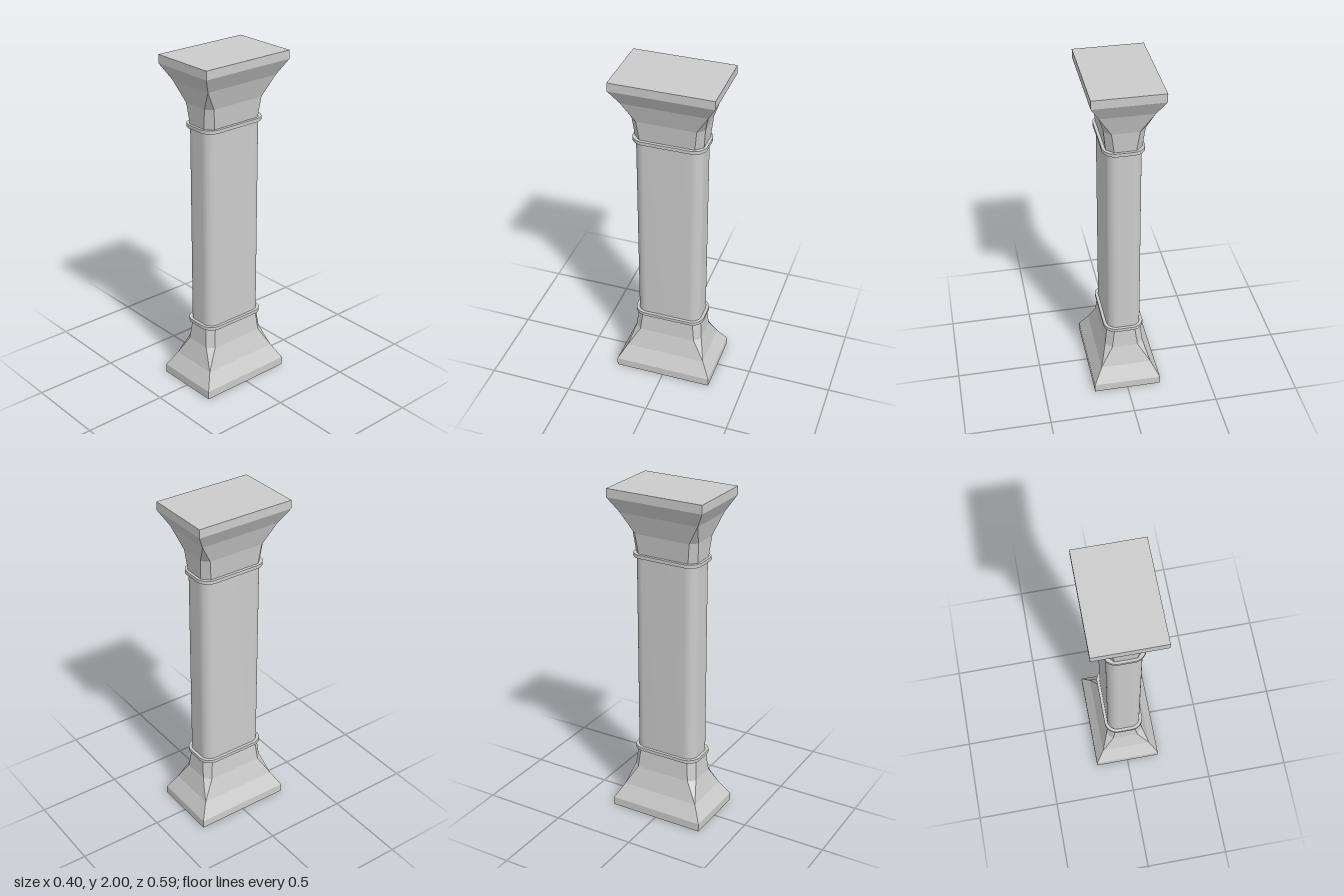
import * as THREE from 'three';
import { toCreasedNormals } from 'three/addons/utils/BufferGeometryUtils.js';

const material = new THREE.MeshStandardMaterial({ color: 0xcccccc, side: THREE.DoubleSide });

function addMesh(parent, name, geometry) {
  const mesh = new THREE.Mesh(geometry, material);
  mesh.name = name;
  parent.add(mesh);
  return mesh;
}

// Rounded rectangle extruded upwards from y = 0
function roundedPrism(hx, hz, r, height) {
  const s = new THREE.Shape();
  s.absarc(hx - r, hz - r, r, 0, Math.PI / 2);
  s.absarc(r - hx, hz - r, r, Math.PI / 2, Math.PI);
  s.absarc(r - hx, r - hz, r, Math.PI, Math.PI * 1.5);
  s.absarc(hx - r, r - hz, r, Math.PI * 1.5, Math.PI * 2);
  s.closePath();
  const g = new THREE.ExtrudeGeometry(s, { depth: height, bevelEnabled: false, curveSegments: 10 });
  g.rotateX(-Math.PI / 2);
  return toCreasedNormals(g, 0.6);
}

// Flared foot, open below: rows of [y, half width, half depth, corner cut]
function flareGeometry() {
  const rows = [
    [0, 0.2, 0.295, 0],
    [0.05, 0.2, 0.295, 0],
    [0.14, 0.15, 0.243, 0],
    [0.26, 0.114, 0.208, 0.037],
    [0.385, 0.1, 0.197, 0.04],
  ];
  const loops = rows.map(([y, x, z, c]) => [
    [x, z - c], [x, c - z], [x - c, -z], [c - x, -z],
    [-x, c - z], [-x, z - c], [c - x, z], [x - c, z],
  ].map(([px, pz]) => new THREE.Vector3(px, y, pz)));
  const points = [];
  const triangle = (a, b, c) => {
    if (new THREE.Triangle(a, b, c).getArea() > 1e-7) points.push(a, b, c);
  };
  for (let i = 0; i < loops.length - 1; i++) {
    for (let j = 0; j < 8; j++) {
      const k = (j + 1) % 8;
      triangle(loops[i][j], loops[i][k], loops[i + 1][k]);
      triangle(loops[i][j], loops[i + 1][k], loops[i + 1][j]);
    }
  }
  const g = new THREE.BufferGeometry().setFromPoints(points);
  g.computeVertexNormals();
  return g;
}

export function createModel() {
  const column = new THREE.Group();
  column.name = 'column';

  // Shaft with softly rounded corners
  addMesh(column, 'shaft', roundedPrism(0.1, 0.195, 0.06, 1.22)).position.y = 0.39;

  // Base and capital are the same flare, one turned over, each with a collar
  const flare = flareGeometry();
  const collar = roundedPrism(0.118, 0.213, 0.075, 0.02);
  for (const name of ['base', 'capital']) {
    const end = new THREE.Group();
    end.name = name;
    addMesh(end, name + 'Flare', flare);
    addMesh(end, name + 'Collar', collar).position.y = 0.38;
    if (name === 'capital') {
      end.rotation.z = Math.PI;
      end.position.y = 2;
    }
    column.add(end);
  }

  // Flat top closing the capital
  const top = addMesh(column, 'capitalTop', new THREE.PlaneGeometry(0.4, 0.59));
  top.rotation.x = -Math.PI / 2;
  top.position.y = 2;

  return column;
}
